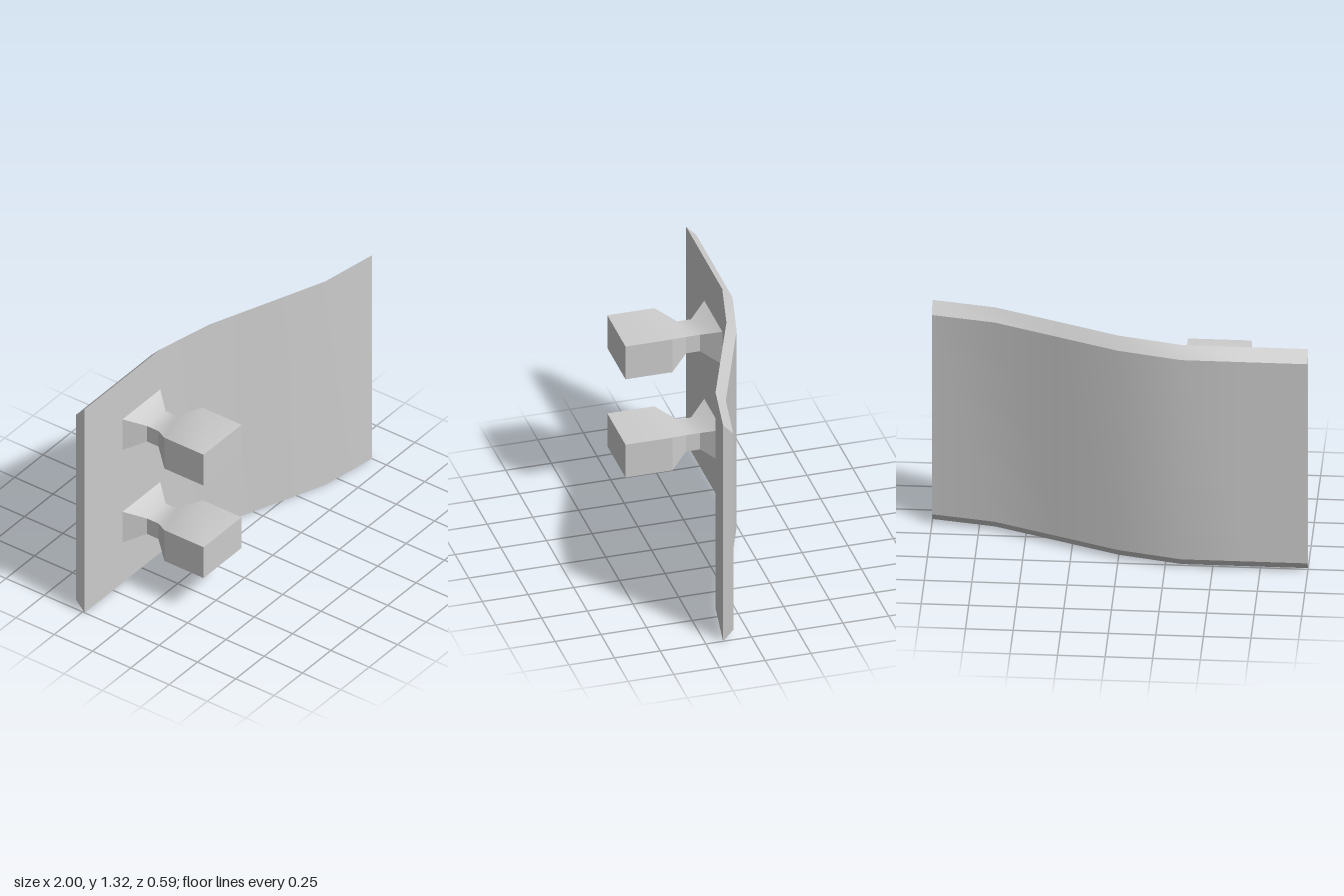
import * as THREE from 'three';
import { toCreasedNormals } from 'three/addons/utils/BufferGeometryUtils.js';

// Solid through a row of four-cornered rings, each counterclockwise about the row's direction
function loft(rings) {
  const index = [];
  const quad = (a, b, c, d) => index.push(a, b, c, a, c, d);
  for (let k = 0; k < rings.length - 1; k++) {
    for (let i = 0; i < 4; i++) {
      const a = k * 4 + i, b = k * 4 + (i + 1) % 4;
      quad(a, b, b + 4, a + 4);
    }
  }
  const e = (rings.length - 1) * 4;
  quad(3, 2, 1, 0);
  quad(e, e + 1, e + 2, e + 3);
  const geometry = new THREE.BufferGeometry();
  geometry.setAttribute('position', new THREE.Float32BufferAttribute(rings.flat(2), 3));
  geometry.setIndex(index);
  return toCreasedNormals(geometry, 0.5);
}

export function createModel() {
  const group = new THREE.Group();
  const material = new THREE.MeshStandardMaterial({ color: 0xcccccc });

  // Curved panel: [x, back z], with top and bottom edges bevelled toward the back
  const H = 1.32, bevel = 0.06, thickness = 0.056;
  const curve = [[-1, -0.293], [-0.667, -0.293], [-0.335, -0.293], [0, -0.216], [0.333, -0.087], [0.667, 0.042], [1, 0.1]];
  const panel = new THREE.Mesh(loft(curve.map(([x, z]) => [
    [x, bevel, z], [x, H - bevel, z], [x, H, z + thickness], [x, 0, z + thickness],
  ])), material);
  panel.name = 'curvedPanel';
  group.add(panel);

  // Handles: flared foot, narrow neck and block: [z, half width, half height]
  const sections = [[-0.238, 0.167, 0.1], [-0.14, 0.083, 0.05], [-0.064, 0.083, 0.05], [0.037, 0.167, 0.1], [0.293, 0.167, 0.1]];
  const handleGeometry = loft(sections.map(([z, w, h]) => [[-w, -h, z], [w, -h, z], [w, h, z], [-w, h, z]]));
  [['lowerHandle', 0.36], ['upperHandle', 0.96]].forEach(([name, y]) => {
    const handle = new THREE.Mesh(handleGeometry, material);
    handle.name = name;
    handle.position.set(-0.5, y, 0);
    group.add(handle);
  });
  return group;
}
